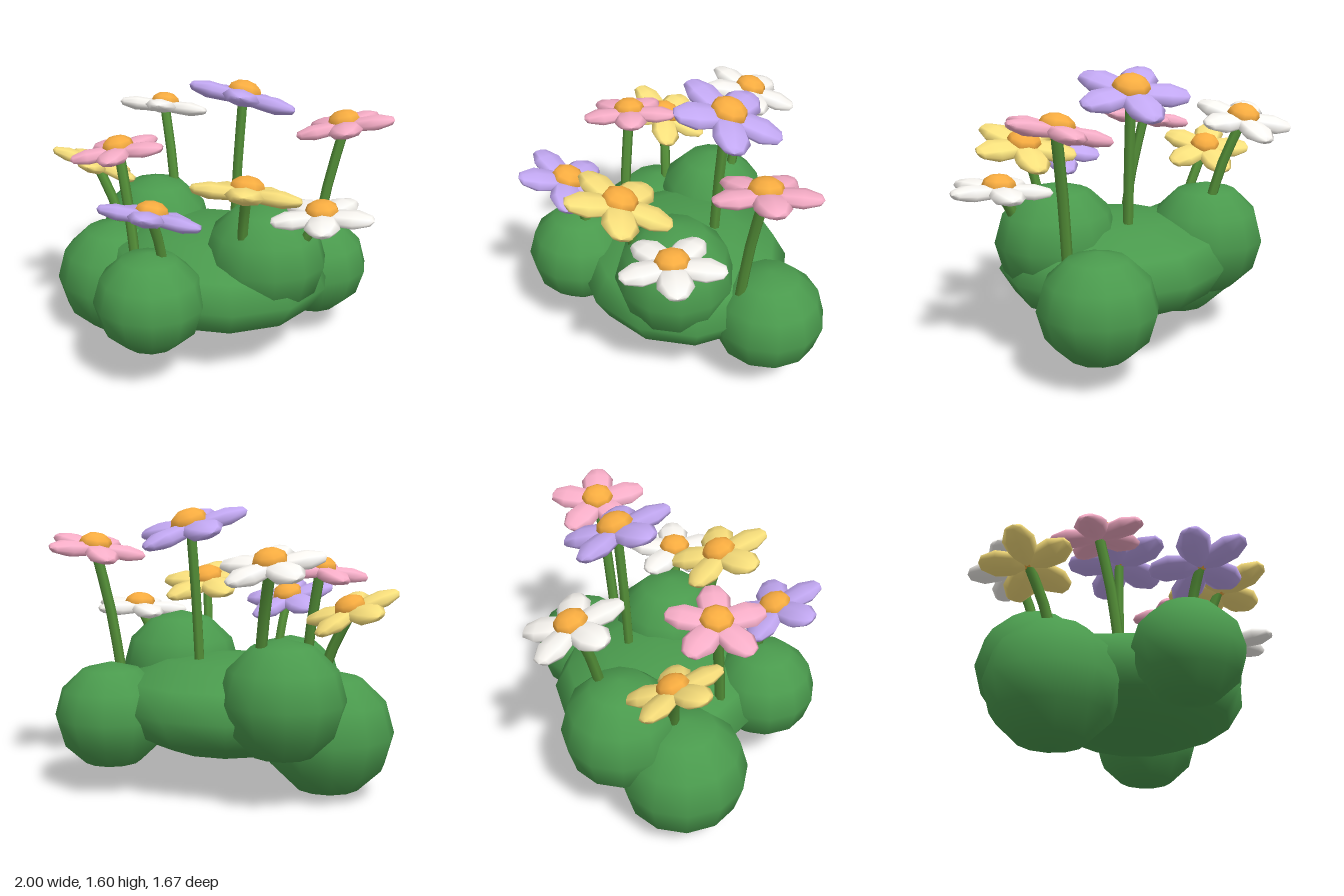
import * as THREE from 'three';

const paint = (color) => new THREE.MeshStandardMaterial({ color });
const leafGreen = paint(0x4a9a4d);
const stemGreen = paint(0x549038);
const orange = paint(0xf8ac40);
const pink = paint(0xf8aec8);
const purple = paint(0xc2a8f2);
const yellow = paint(0xfae07c);
const white = paint(0xfaf7f2);

// Bush lobes: centre, radii
const LOBES = [
  ['bushBody', [0.01, 0.48, -0.09], [0.69, 0.295, 0.62]],
  ['leftLowLobe', [-0.61, 0.355, 0.01], [0.37, 0.355, 0.365]],
  ['frontLobe', [-0.11, 0.515, 0.52], [0.315, 0.29, 0.305]],
  ['upperLobe', [0.36, 0.655, 0], [0.355, 0.33, 0.335]],
  ['backLobe', [0.49, 0.43, -0.515], [0.325, 0.305, 0.32]],
  ['backUpperLobe', [-0.5, 0.58, -0.32], [0.345, 0.335, 0.335]],
];

// Flowers: petal material, head centre, facing direction, radius, stem base
const FLOWERS = [
  [white, [-0.545, 1.305, -0.54], [0, 1, -0.3], 0.285, [-0.42, 0.8, -0.42]],
  [pink, [-0.465, 1.235, 0.19], [-0.18, 1, 0], 0.28, [-0.35, 0.58, 0.24]],
  [yellow, [-0.765, 1.045, -0.045], [0.25, 1, -0.35], 0.275, [-0.58, 0.62, -0.04]],
  [purple, [0.085, 1.485, -0.305], [0.14, 1, -0.32], 0.325, [0.06, 0.7, -0.26]],
  [pink, [0.67, 1.36, -0.415], [-0.23, 1, -0.04], 0.29, [0.55, 0.63, -0.34]],
  [yellow, [0.365, 1.14, 0.3], [0, 1, -0.32], 0.31, [0.31, 0.82, 0.22]],
  [white, [0.705, 0.98, 0.05], [-0.07, 1, 0], 0.29, [0.58, 0.74, 0.05]],
  [purple, [-0.06, 1.035, 0.575], [0.05, 1, -0.38], 0.29, [-0.05, 0.74, 0.47]],
];

// Plump petal along +x, unit length: broad past the middle, with a blunt pointed tip
function petalGeometry() {
  const outline = [[0, 0], [0.24, 0.02], [0.3, 0.35], [0.33, 0.66], [0.18, 0.94], [0, 1]];
  const points = outline.map(([r, y]) => new THREE.Vector2(r, y));
  return new THREE.LatheGeometry(points, 8).rotateZ(-Math.PI / 2).scale(1, 0.45, 1);
}

export function createModel() {
  const model = new THREE.Group();
  model.name = 'floweringBush';
  const add = (parent, name, geometry, material) => {
    const mesh = new THREE.Mesh(geometry, material);
    mesh.name = name;
    parent.add(mesh);
    return mesh;
  };

  // Bush
  const ball = new THREE.SphereGeometry(1, 12, 6);
  for (const [name, centre, radii] of LOBES) {
    const lobe = add(model, name, ball, leafGreen);
    lobe.position.set(...centre);
    lobe.scale.set(...radii);
  }

  // Flowers
  const petal = petalGeometry();
  const dome = new THREE.SphereGeometry(1, 8, 6);
  const up = new THREE.Vector3(0, 1, 0);
  for (const [material, centre, facing, radius, base] of FLOWERS) {
    const flower = new THREE.Group();
    flower.name = 'flower';
    model.add(flower);

    // Stem, leaving the bush upright and bending into the head
    const top = new THREE.Vector3(...centre);
    const foot = new THREE.Vector3(...base);
    const normal = new THREE.Vector3(...facing).normalize();
    const middle = foot.clone().lerp(top, 0.5);
    middle.lerp(new THREE.Vector3(foot.x, middle.y, foot.z), 0.2);
    const path = new THREE.CatmullRomCurve3([foot, middle, top]);
    add(flower, 'stem', new THREE.TubeGeometry(path, 4, 0.03, 6), stemGreen);

    // Head
    const head = new THREE.Group();
    head.name = 'flowerHead';
    head.position.copy(top);
    head.quaternion.setFromUnitVectors(up, normal);
    flower.add(head);
    for (let i = 0; i < 5; i++) {
      const p = add(head, 'petal', petal, material);
      p.scale.setScalar(radius);
      p.rotation.y = (i * Math.PI * 2) / 5;
    }
    const heart = add(head, 'flowerCentre', dome, orange);
    heart.position.y = radius * 0.1;
    heart.scale.set(radius * 0.33, radius * 0.22, radius * 0.33);
  }
  return model;
}
